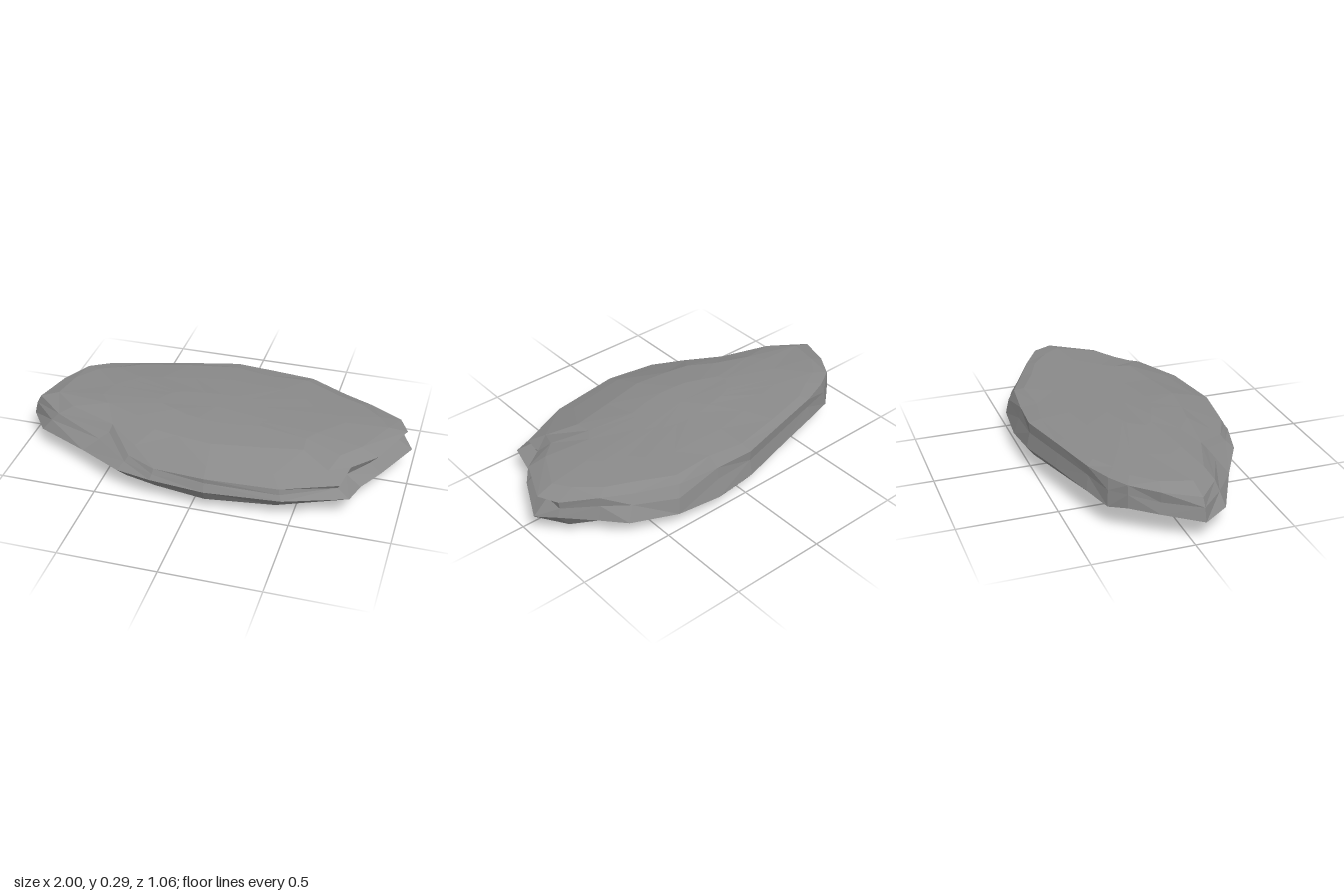
import * as THREE from 'three';

// Widest outline, clockwise from above: x, z, height
const OUTLINE = [
  [-1, 0.05, 0.12], [-0.9, -0.13, 0.14], [-0.81, -0.26, 0.15], [-0.73, -0.33, 0.13],
  [-0.57, -0.38, 0.14], [-0.3, -0.45, 0.14], [-0.02, -0.52, 0.13], [0.2, -0.53, 0.11],
  [0.44, -0.51, 0.12], [0.67, -0.42, 0.13], [0.77, -0.31, 0.13], [0.93, -0.21, 0.17],
  [1, -0.11, 0.15], [0.88, 0.13, 0.14], [0.8, 0.24, 0.12], [0.77, 0.38, 0.14],
  [0.46, 0.49, 0.14], [0.08, 0.53, 0.145], [-0.2, 0.51, 0.15], [-0.39, 0.46, 0.14],
  [-0.62, 0.33, 0.13], [-0.9, 0.19, 0.12],
];
// Upper rim above each outline point: inset scale, height
const RIM = [
  [0.96, 0.23], [0.99, 0.25], [0.99, 0.265], [0.96, 0.265], [0.97, 0.26], [0.97, 0.265],
  [0.97, 0.265], [0.93, 0.26], [0.92, 0.26], [0.9, 0.25], [0.98, 0.255], [0.99, 0.255],
  [0.97, 0.255], [0.98, 0.235], [0.93, 0.215], [0.93, 0.19], [0.96, 0.195], [0.96, 0.21],
  [0.94, 0.2], [0.88, 0.2], [0.8, 0.22], [0.9, 0.22],
];

// Small repeatable noise in -1..1
const noise = (i, k) => {
  const v = Math.sin(i * 127.1 + k * 311.7) * 43758.5453;
  return 2 * (v - Math.floor(v)) - 1;
};
const { lerp, smoothstep } = THREE.MathUtils;

// Gently domed top and rounded underside heights
const crown = (x, z) => 0.282 + 0.022 * Math.exp(-((x + 0.2) ** 2) * 6 - z * z * 10);
const underside = (x, z) => 0.012 + 0.23 * z * z + 0.03 * smoothstep(x, 0.5, 0.9);

// Points of one outline column from the underside centre to the top centre
function column([x, z, y], [rimScale, rimY], i) {
  const left = smoothstep(-x, 0.5, 0.95); // undercut left end
  const front = smoothstep(z, 0.15, 0.45); // sloping front shoulder
  const notch = x > 0.75 && z > -0.2 ? 0.06 : 0; // pocket in the right end
  const at = (s, k, rough, height) => {
    const w = s * (1 + rough * noise(i, k));
    // Inner rings stay long in x so the facets run lengthwise
    const px = x * (w + 0.35 * w * (1 - w)), pz = z * w;
    return [px, height(px, pz), pz];
  };
  const wall = (s, h, k, rough) => {
    const w = s * (1 + rough * noise(i, k));
    return [x * w, h + 0.4 * rough * noise(i + 40, k), z * w];
  };
  const top = (s, blend, k, rough) => at(s, k, rough, (px, pz) => lerp(rimY, crown(px, pz), blend));
  return [
    at(0.2, 1, 0.03, underside),
    at(lerp(0.45, 0.38, left), 2, 0.06, underside),
    at(lerp(0.7, 0.55, left), 3, 0.06, underside),
    wall(lerp(0.91, 0.75, left) - notch, 0.08, 4, 0.02),
    [x, y, z],
    wall(lerp(1, rimScale, 0.55) - notch, lerp(y, rimY, 0.55), 5, 0.02),
    wall(rimScale, rimY, 6, 0),
    top(rimScale * 0.86, lerp(0.65, 0.35, front), 7, 0.05),
    top(0.55, lerp(0.95, 0.85, front), 8, 0.06),
    top(0.25, 1, 9, 0.03),
  ];
}

function createSlab() {
  const n = OUTLINE.length;
  const columns = OUTLINE.map((p, i) => column(p, RIM[i], i));
  const rows = columns[0].length;
  const positions = columns.flat(2);
  positions.push(0, underside(0, 0), 0, 0, crown(0, 0), 0);
  const bottom = n * rows, peak = bottom + 1;
  const index = [];
  for (let i = 0; i < n; i++) {
    const p = i * rows, q = ((i + 1) % n) * rows;
    index.push(bottom, p, q);
    for (let k = 0; k < rows - 1; k++) {
      const a = p + k, b = q + k;
      // Vary the diagonals for an irregular broken surface
      if (noise(i, k + 20) > 0) index.push(b, a, a + 1, b, a + 1, b + 1);
      else index.push(a, a + 1, b + 1, a, b + 1, b);
    }
    index.push(q + rows - 1, p + rows - 1, peak);
  }
  const geometry = new THREE.BufferGeometry();
  geometry.setAttribute('position', new THREE.Float32BufferAttribute(positions, 3));
  geometry.setIndex(index);
  geometry.computeBoundingBox();
  geometry.translate(0, -geometry.boundingBox.min.y, 0);
  const flat = geometry.toNonIndexed();
  flat.computeVertexNormals();
  return flat;
}

export function createModel() {
  const stone = new THREE.MeshStandardMaterial({ color: 0x8a8a8a, flatShading: true });
  stone.name = 'grey stone';
  const slab = new THREE.Mesh(createSlab(), stone);
  slab.name = 'rockSlab';
  const group = new THREE.Group();
  group.name = 'flatRock';
  group.add(slab);
  return group;
}
